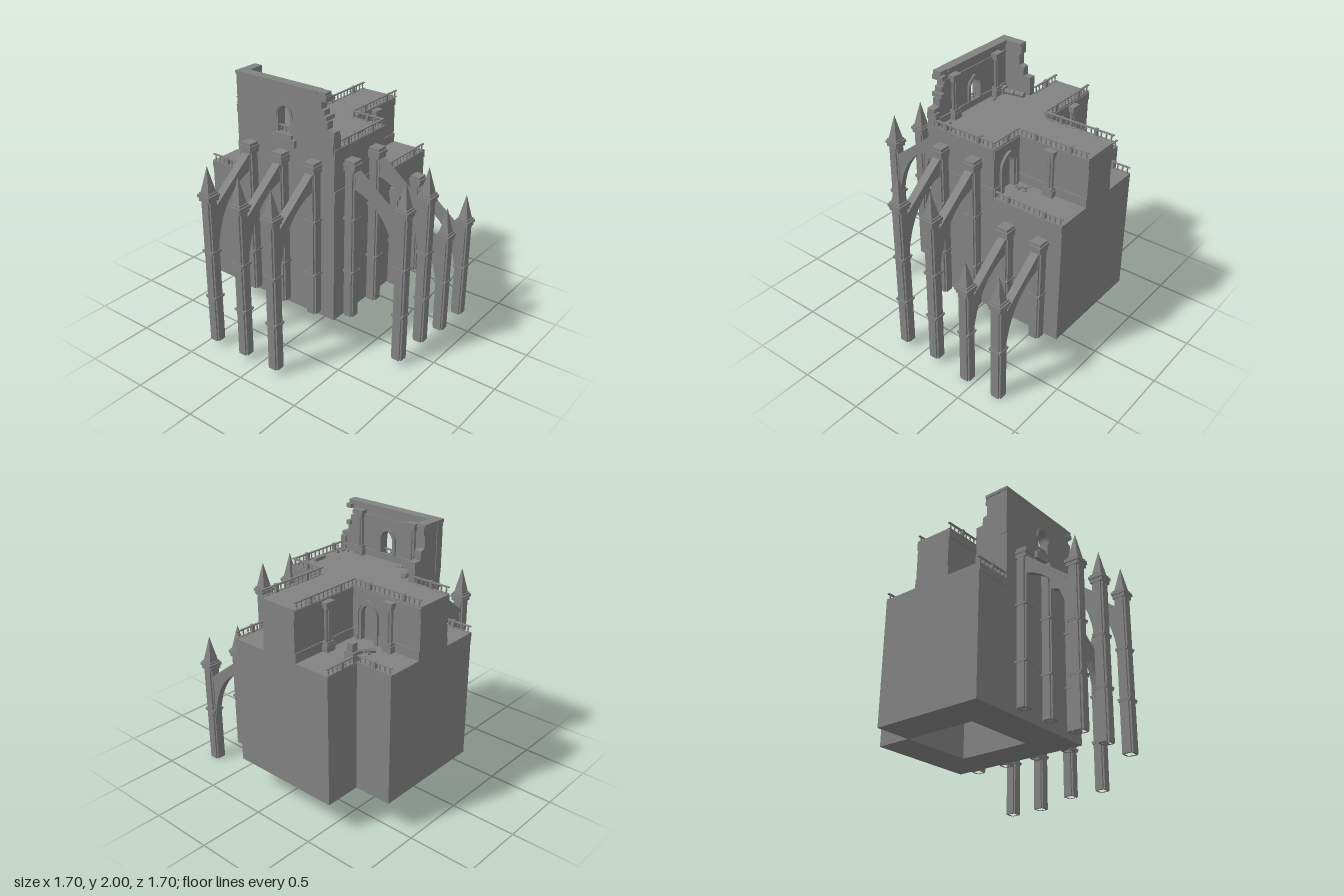
import * as THREE from 'three';

const mat = new THREE.MeshStandardMaterial({ color: 0x828282, flatShading: true });
const BASE = 0.25, LOW = 1.23, HIGH = 1.61;

function add(parent, name, geo, x = 0, y = 0, z = 0) {
  const m = new THREE.Mesh(geo, mat);
  m.name = name;
  m.position.set(x, y, z);
  parent.add(m);
  return m;
}
// Box given by its limits on each axis
function box(parent, name, x0, x1, y0, y1, z0, z1) {
  return add(parent, name, new THREE.BoxGeometry(x1 - x0, y1 - y0, z1 - z0),
    (x0 + x1) / 2, (y0 + y1) / 2, (z0 + z1) / 2);
}
function group(parent, name, x, y, z, turn) {
  const g = new THREE.Group();
  g.name = name;
  g.position.set(x, y, z);
  g.rotation.y = turn;
  parent.add(g);
  return g;
}
const shapeOf = pts => new THREE.Shape(pts.map(p => new THREE.Vector2(p[0], p[1])));
const extrude = (shape, depth) => new THREE.ExtrudeGeometry(shape, { depth, bevelEnabled: false, curveSegments: 8 });
// Upright prism from a plan of [x, z] points
function prism(parent, name, plan, y0, y1, hole) {
  const shape = shapeOf(plan.map(([x, z]) => [x, -z]));
  if (hole) shape.holes.push(shapeOf(hole.map(([x, z]) => [x, -z])));
  return add(parent, name, extrude(shape, y1 - y0).rotateX(-Math.PI / 2), 0, y0, 0);
}
// Points of a pointed arch, from its left foot over the top to its right foot
function archPoints(cx, y0, spring, top, hw) {
  const pts = [[cx - hw, y0]], n = 7;
  for (let i = -n; i <= n; i++) {
    const t = 1 - Math.abs(i) / n, k = 0.7 * 2 * t * (1 - t) + t * t;
    pts.push([cx + Math.sign(i) * hw * (1 - t * t), spring + (top - spring) * k]);
  }
  return [...pts, [cx + hw, y0]];
}
// Open-footed arch moulding standing out from a wall
function archFrame(parent, name, cx, y0, spring, top, hw, t, z, depth) {
  const outline = [...archPoints(cx, y0, spring, top + t, hw + t), ...archPoints(cx, y0, spring, top, hw).reverse()];
  return add(parent, name, extrude(shapeOf(outline), depth), 0, 0, z);
}

// Balustrade from a to b ([x, z]) standing on height y
function railing(parent, y, a, b) {
  const dx = b[0] - a[0], dz = b[1] - a[1], len = Math.hypot(dx, dz);
  const g = group(parent, 'balustrade', a[0], y, a[1], -Math.atan2(dz, dx));
  box(g, 'railFoot', 0, len, 0, 0.004, -0.009, 0.009);
  box(g, 'handrail', 0, len, 0.045, 0.053, -0.008, 0.008);
  const n = Math.max(2, Math.round(len / 0.042));
  const baluster = new THREE.LatheGeometry([[0.007, 0], [0.007, 0.006], [0.004, 0.014], [0.007, 0.028], [0.004, 0.036], [0.007, 0.046]]
    .map(p => new THREE.Vector2(...p)), 6);
  for (let i = 0; i < n; i++) {
    const x = (i + 0.5) * len / n;
    if (i % 7 === 3) box(g, 'railPost', x - 0.011, x + 0.011, 0, 0.057, -0.013, 0.013);
    else add(g, 'baluster', baluster, x, 0, 0);
  }
}

// Wall column with stepped base and capital
function column(parent, x, z, y, h, turn) {
  const g = group(parent, 'column', x, y, z, turn);
  box(g, 'columnBase', -0.04, 0.04, 0, 0.05, -0.027, 0.027);
  box(g, 'columnPlinth', -0.034, 0.034, 0.05, 0.07, -0.023, 0.023);
  for (const s of [-1, 0, 1])
    add(g, 'columnShaft', new THREE.CylinderGeometry(0.014, 0.014, h - 0.1, 8), s * 0.017, h / 2 + 0.01, s ? 0 : 0.007);
  box(g, 'capital', -0.032, 0.032, h - 0.05, h - 0.025, -0.022, 0.022);
  box(g, 'abacus', -0.04, 0.04, h - 0.025, h, -0.027, 0.027);
}

// Hollow square shaft with notched corners
function shaft(parent, name, h, y0, y1, z) {
  const n = h - 0.013, i = h - 0.016, plan = [];
  for (const [sx, sz] of [[1, 1], [-1, 1], [-1, -1], [1, -1]]) {
    const c = [[sx * h, sz * n], [sx * n, sz * n], [sx * n, sz * h]];
    plan.push(...(sx * sz > 0 ? c : c.reverse()));
  }
  prism(parent, name, plan, y0, y1, [[-i, -i], [i, -i], [i, i], [-i, i]]).position.z = z;
}
// Flying buttress reaching out along +z from a wall at z = 0
function buttress(parent, x, y, z, turn, towerFoot, pierFoot, towerRings, pierRings) {
  const g = group(parent, 'flyingButtress', x, y, z, turn);
  const band = (name, r, y0, y1, zc) => box(g, name, -r, r, y0, y1, zc - r, zc + r);
  // wall pier
  shaft(g, 'wallPier', 0.043, pierFoot, 1.45, 0.044);
  for (const r of pierRings) band('pierRing', 0.047, r - 0.008, r + 0.008, 0.045);
  band('pierCapLower', 0.045, 1.43, 1.46, 0.046);
  band('pierCap', 0.05, 1.465, 1.488, 0.05);
  band('pierCapTop', 0.043, 1.455, 1.51, 0.048);
  // free-standing tower with pinnacle
  const T = 0.483;
  shaft(g, 'tower', 0.044, towerFoot, 1.22, T);
  for (const r of towerRings) {
    band('towerRing', 0.049, r - 0.004, r + 0.007, T);
    band('towerRingLower', 0.046, r - 0.015, r - 0.004, T);
  }
  band('towerCapLower', 0.049, 1.21, 1.232, T);
  band('towerCap', 0.056, 1.238, 1.26, T);
  band('towerNeck', 0.046, 1.225, 1.275, T);
  add(g, 'pinnacle', new THREE.ConeGeometry(0.055, 0.2, 4).rotateY(Math.PI / 4), 0, 1.37, T);
  // half arch between pier and tower
  const s = new THREE.Shape();
  s.moveTo(0.08, 1.44);
  s.lineTo(0.08, 1.3);
  s.bezierCurveTo(0.27, 1.26, 0.41, 1.08, 0.44, 0.8);
  s.lineTo(0.45, 0.8);
  s.lineTo(0.45, 1.145);
  s.closePath();
  add(g, 'flyingArch', extrude(s, 0.05).translate(0, 0, -0.025).rotateY(-Math.PI / 2));
  const cope = shapeOf([[0.08, 1.44], [0.08, 1.41], [0.45, 1.12], [0.45, 1.15]]);
  add(g, 'archCoping', extrude(cope, 0.062).translate(0, 0, -0.031).rotateY(-Math.PI / 2));
}

// Small seeded generator for rubble
let seed = 7;
const rnd = () => (seed = (seed * 16807) % 2147483647) / 2147483647;
function rubble(parent, x, z, y, n, spread) {
  for (let i = 0; i < n; i++) {
    const r = 0.014 + rnd() * 0.01;
    const m = add(parent, 'rubble', new THREE.BoxGeometry(r, r * 0.7, r * 1.3), x + (rnd() - 0.5) * spread, y + r * 0.3, z + (rnd() - 0.5) * spread);
    m.rotation.set(rnd() * 0.5, rnd() * 3, 0);
  }
}
// Toppled column lying in broken drums
function fallenColumn(parent, x, z, y, turn, n) {
  const g = group(parent, 'fallenColumn', x, y, z, turn);
  for (let i = 0; i < n; i++) {
    const d = add(g, 'columnDrum', new THREE.CylinderGeometry(0.022, 0.022, 0.036, 8).rotateZ(Math.PI / 2), (i - (n - 1) / 2) * 0.041, 0.02, 0);
    d.rotation.y = (i % 2 - 0.5) * 0.2;
  }
  box(g, 'fallenCapital', n * 0.0205, n * 0.0205 + 0.025, 0, 0.05, -0.034, 0.034);
}

export function createModel() {
  const root = new THREE.Group();
  root.name = 'ruinedCathedral';
  // Main mass: hollow-footed base, low aisle level, high cross-shaped level
  const plan = [[-0.85, 0.31], [0.31, 0.31], [0.31, -0.85], [-0.56, -0.85], [-0.56, -0.57], [-0.85, -0.57]];
  prism(root, 'baseBlock', plan, BASE, 1.1, [[-0.555, 0.02], [0.02, 0.02], [0.02, -0.565], [-0.555, -0.565]]);
  prism(root, 'aisleLevel', plan, 1.1, LOW);
  prism(root, 'naveLevel', [[-0.85, 0.02], [-0.56, 0.02], [-0.56, 0.31], [0.31, 0.31], [0.31, -0.25],
    [0.02, -0.25], [0.02, -0.85], [-0.27, -0.85], [-0.27, -0.25], [-0.85, -0.25]], LOW, HIGH);
  // Aisle end walls with recessed doorways
  for (const [x0, x1, cx] of [[-0.85, -0.27, -0.405], [0.02, 0.31, 0.15]]) {
    const wall = [[x0, LOW], ...archPoints(cx, LOW, 1.42, 1.5, 0.055), [x1, LOW], [x1, HIGH], [x0, HIGH]];
    add(root, 'doorWall', extrude(shapeOf(wall), 0.03), 0, 0, -0.28);
    archFrame(root, 'doorArch', cx, LOW, 1.42, 1.515, 0.075, 0.022, -0.3, 0.022);
    archFrame(root, 'doorArchInner', cx, LOW, 1.42, 1.5, 0.055, 0.022, -0.29, 0.02);
    for (const [a, b] of [[x0, cx - 0.09], [cx + 0.09, x1]]) box(root, 'wallFoot', a, b, LOW, 1.3, -0.287, -0.275);
    box(root, 'innerCourse', x0, x1, 1.54, 1.6, -0.287, -0.275);
  }
  // String courses on the outer and inner walls
  for (const [y0, y1] of [[1.54, HIGH], [1.21, 1.3]]) box(root, 'sideCourse', 0.3, 0.316, y0, y1, -0.28, 0.31);
  box(root, 'aisleCourse', 0.3, 0.316, 1.17, LOW, -0.85, -0.28);
  box(root, 'aisleCourse', -0.85, -0.56, 1.17, LOW, 0.3, 0.316);
  for (const [y0, y1] of [[1.54, 1.6], [LOW, 1.3]]) {
    box(root, 'innerCourse', -0.278, -0.26, y0, y1, -0.85, -0.28);
    box(root, 'innerCourse', 0.01, 0.027, y0, y1, -0.85, -0.28);
    box(root, 'innerCourse', -0.85, -0.56, y0, y1, 0.01, 0.027);
  }
  // Front wall with broken edge and pointed window
  const wall = shapeOf([[-0.565, HIGH], [0.31, HIGH], [0.31, 1.74], [0.25, 1.745], [0.25, 1.8], [0.225, 1.8],
    [0.225, 1.88], [0.2, 1.88], [0.2, 1.935], [0.24, 1.935], [0.24, 1.98], [0.2, 1.98], [0.2, 1.99], [-0.565, 1.99]]);
  wall.holes.push(shapeOf(archPoints(-0.13, 1.625, 1.755, 1.835, 0.055)));
  add(root, 'frontWall', extrude(wall, 0.06), 0, 0, 0.25);
  box(root, 'frontCornice', -0.57, 0.16, 1.975, 2, 0.238, 0.314);
  box(root, 'frontCorniceBroken', 0.16, 0.235, 1.98, 2, 0.245, 0.312);
  box(root, 'innerBand', -0.5, 0.2, 1.9, 1.925, 0.242, 0.255);
  box(root, 'innerBand', -0.5, 0.3, HIGH, 1.66, 0.24, 0.255);
  archFrame(root, 'windowHood', -0.13, 1.745, 1.76, 1.842, 0.06, 0.02, 0.305, 0.014);
  archFrame(root, 'windowInnerFrame', -0.13, 1.66, 1.755, 1.835, 0.055, 0.022, 0.235, 0.02);
  box(root, 'windowBalcony', -0.235, -0.02, 1.55, 1.605, 0.3, 0.335);
  box(root, 'windowSill', -0.205, -0.05, 1.605, 1.632, 0.3, 0.33);
  railing(root, 1.63, [-0.19, 0.29], [-0.07, 0.29]);
  // Broken corner stones
  [[0.265, 0.31, 1.66, 1.71], [0.26, 0.305, 1.58, 1.65], [0.215, 0.25, 1.81, 1.84], [0.2, 0.245, 1.94, 1.97]]
    .forEach(([a, b, c, d], i) => box(root, 'brokenStone', a, b, c, d, 0.235 - i * 0.004, 0.316));
  // Return wall, stepping down in ruin
  const ret = shapeOf([[-0.26, HIGH], [-0.02, HIGH], [-0.02, 1.755], [-0.08, 1.755], [-0.08, 1.82],
    [-0.12, 1.83], [-0.12, 1.92], [-0.105, 1.92], [-0.105, 1.99], [-0.26, 1.99]]);
  add(root, 'returnWall', extrude(ret, 0.055).rotateY(Math.PI / 2), -0.56, 0, 0);
  box(root, 'returnCornice', -0.568, -0.498, 1.975, 2, 0.11, 0.26);
  // Columns on the front wall and the aisle walls
  for (const x of [-0.37, 0.11]) column(root, x, 0.225, HIGH, 0.34, Math.PI);
  column(root, -0.61, -0.307, LOW, 0.36, Math.PI);
  column(root, -0.297, -0.56, LOW, 0.36, -Math.PI / 2);
  column(root, 0.047, -0.56, LOW, 0.36, Math.PI / 2);
  // Balustrades
  for (const [a, b] of [[[0.3, -0.28], [0.3, 0.25]], [[0.03, -0.85], [0.03, -0.28]], [[0.02, -0.275], [0.31, -0.275]],
    [[-0.28, -0.85], [-0.28, -0.28]], [[-0.85, -0.275], [-0.27, -0.275]], [[-0.85, 0.015], [-0.56, 0.015]]]) railing(root, HIGH, a, b);
  for (const [a, b] of [[[0.3, -0.85], [0.3, -0.29]], [[-0.55, -0.85], [-0.55, -0.57]],
    [[-0.85, -0.56], [-0.56, -0.56]], [[-0.85, 0.3], [-0.56, 0.3]]]) railing(root, LOW, a, b);
  // Buttresses: three in front, two tall and two low on the side
  for (const x of [-0.42, -0.13, 0.16]) buttress(root, x, 0, 0.31, 0, 0.05, 0.3, [0.43, 0.81], [0.63, 1.06]);
  for (const z of [0.16, -0.13]) buttress(root, 0.31, 0, z, Math.PI / 2, 0.05, BASE, [0.43, 0.81], [0.63, 1.06]);
  for (const z of [-0.42, -0.7]) buttress(root, 0.31, -0.43, z, Math.PI / 2, 0.43, BASE + 0.43, [0.86], [1.06]);
  // Fallen masonry
  fallenColumn(root, -0.5, -0.43, LOW, 0.8, 4);
  fallenColumn(root, -0.44, 0.11, HIGH, -1.4, 4);
  box(root, 'columnStump', -0.555, -0.475, LOW, 1.3, -0.6, -0.53);
  box(root, 'columnStumpTop', -0.54, -0.49, 1.3, 1.36, -0.59, -0.54);
  box(root, 'fallenBlock', 0.23, 0.26, HIGH, 1.635, -0.12, -0.02);
  for (const [x, z, y, n, spread] of [[0.23, 0.17, HIGH, 7, 0.1], [-0.3, 0.21, HIGH, 4, 0.05],
    [0.08, -0.36, LOW, 7, 0.1], [-0.5, -0.48, LOW, 5, 0.14]]) rubble(root, x, z, y, n, spread);
  return root;
}
